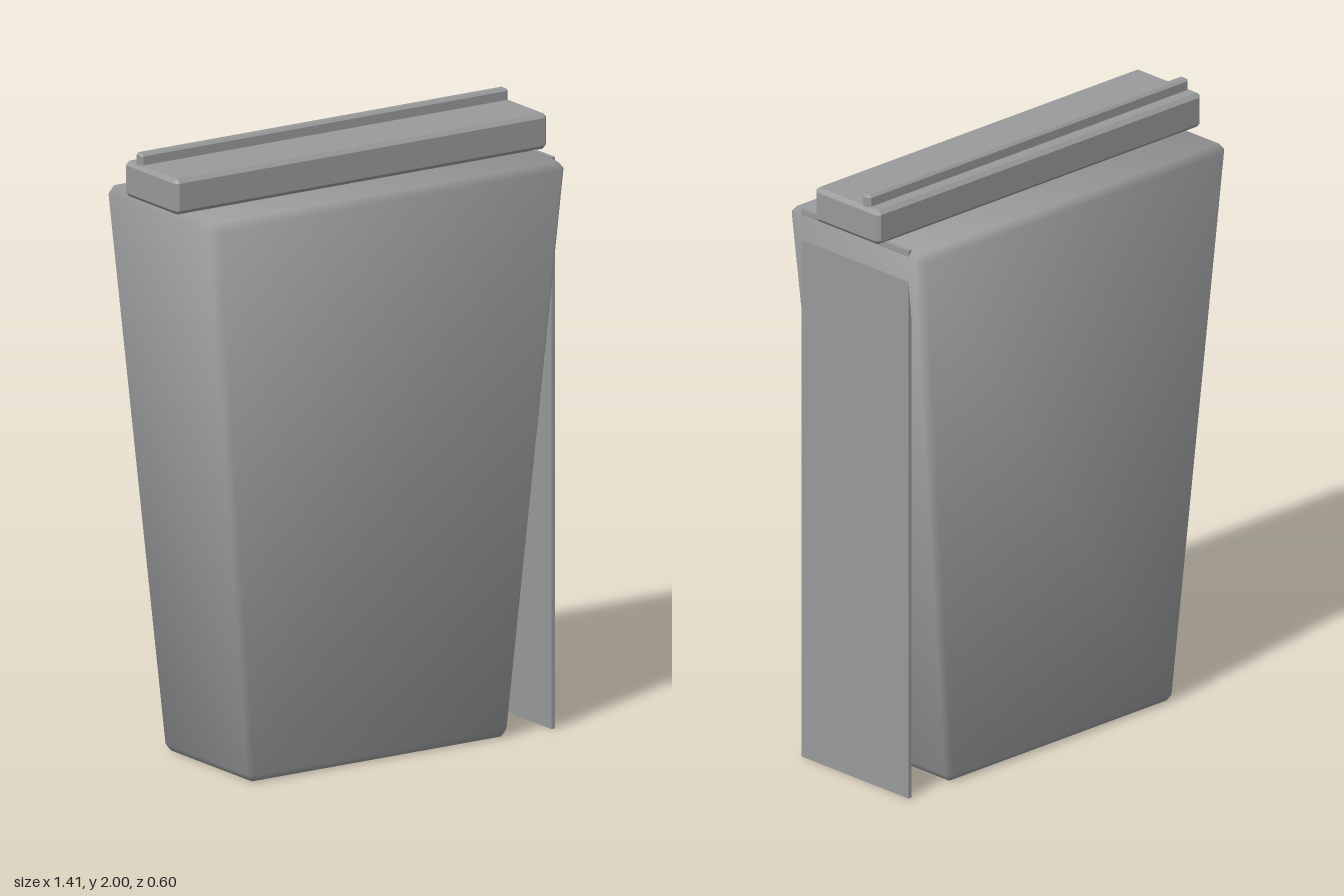
import * as THREE from 'three';
import { ConvexGeometry } from 'three/addons/geometries/ConvexGeometry.js';

// Box with chamfered edges; soft = normals blended across the chamfers
function chamferBox(size, bevel, soft = false) {
  const half = size.map((s) => s / 2);
  const points = [];
  for (const sx of [-1, 1]) for (const sy of [-1, 1]) for (const sz of [-1, 1]) {
    for (let axis = 0; axis < 3; axis++) {
      const c = [sx, sy, sz].map((s, i) => s * (i === axis ? half[i] : half[i] - bevel));
      points.push(new THREE.Vector3(...c));
    }
  }
  const geometry = new ConvexGeometry(points);
  if (soft) {
    const pos = geometry.attributes.position;
    const normal = geometry.attributes.normal;
    for (let i = 0; i < pos.count; i++) {
      const p = [pos.getX(i), pos.getY(i), pos.getZ(i)];
      const n = p.map((v, k) => Math.sign(v) * (Math.abs(v) > half[k] - bevel / 2 ? 1 : 0.39));
      const v = new THREE.Vector3(...n).normalize();
      normal.setXYZ(i, v.x, v.y, v.z);
    }
  }
  return geometry;
}

export function createModel() {
  const model = new THREE.Group();
  const grey = new THREE.MeshStandardMaterial({ color: 0x999a9c });
  grey.name = 'grey';

  const add = (name, geometry, x, y, z) => {
    const mesh = new THREE.Mesh(geometry, grey);
    mesh.name = name;
    mesh.position.set(x, y, z);
    model.add(mesh);
  };

  // Bin body, narrowing towards the base
  const height = 1.845;
  const body = chamferBox([1.35, height, 0.6], 0.024, true);
  const pos = body.attributes.position;
  for (let i = 0; i < pos.count; i++) {
    const t = pos.getY(i) / height + 0.5;
    pos.setX(i, pos.getX(i) * THREE.MathUtils.lerp(0.725, 1, t));
    pos.setZ(i, pos.getZ(i) * THREE.MathUtils.lerp(0.81, 1, t));
  }
  add('body', body, 0, height / 2, 0);

  // Thin upright panel on the left side, its top edge just clearing the body
  add('sidePanel', new THREE.BoxGeometry(0.014, 1.85, 0.48), 0.658, 0.925, 0);

  // Lid bar and the narrow ridge along its top
  add('lid', chamferBox([1.41, 0.115, 0.29], 0.013), 0, 1.9055, 0);
  add('lidRidge', chamferBox([1.39, 0.05, 0.036], 0.008), 0, 1.975, -0.078);

  return model;
}
